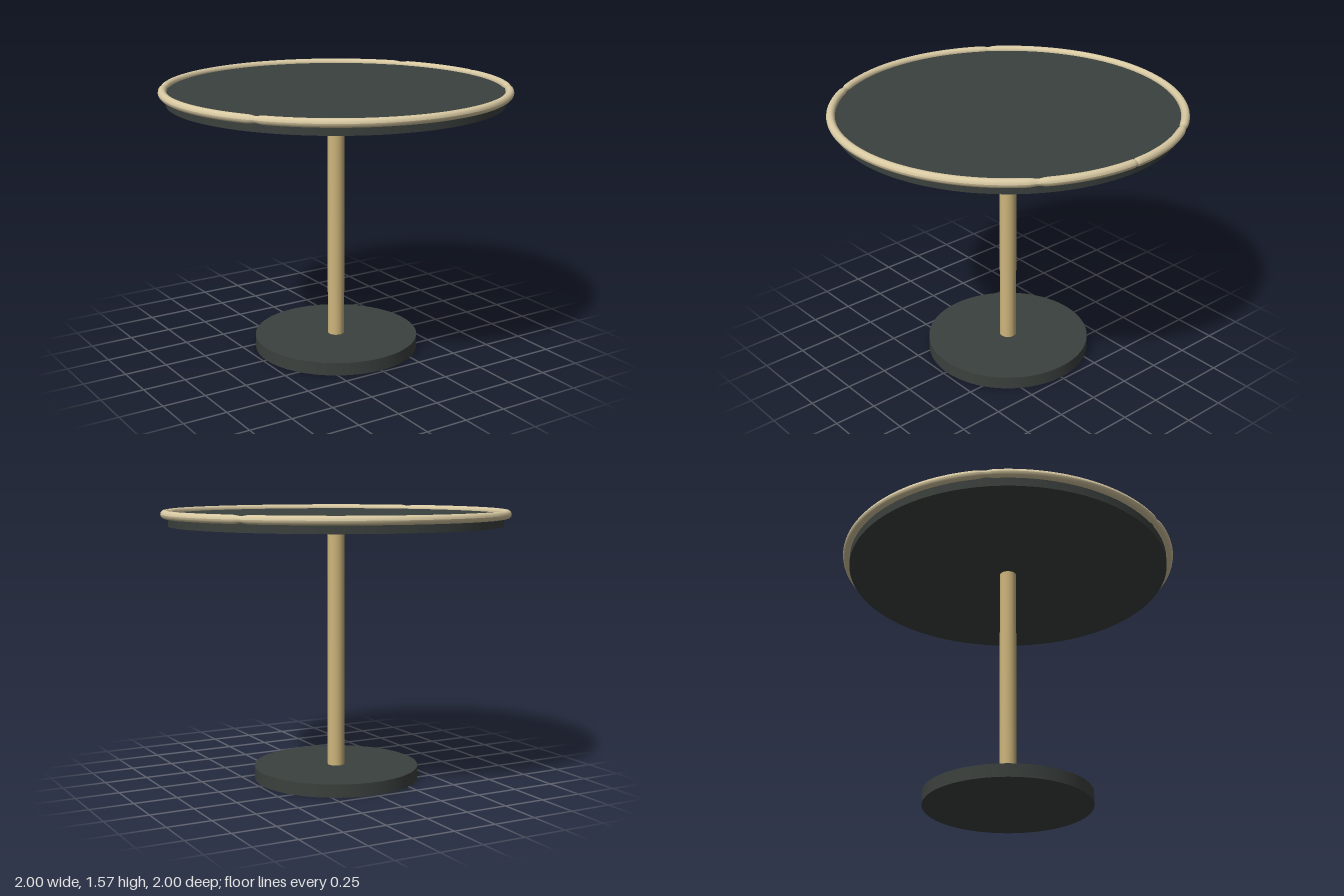
import * as THREE from 'three';

const dark = new THREE.MeshStandardMaterial({ color: 0x3b413e });
const brass = new THREE.MeshStandardMaterial({ color: 0xcdb57c });
const paleBrass = new THREE.MeshStandardMaterial({ color: 0xd8c9a2 });

// Upright cylinder between two heights
function disc(name, radius, y0, y1, material) {
  const mesh = new THREE.Mesh(new THREE.CylinderGeometry(radius, radius, y1 - y0, 96), material);
  mesh.name = name;
  mesh.position.y = (y0 + y1) / 2;
  return mesh;
}

// Round edge tube, pinched slightly where its bent lengths meet
function edgeRim() {
  const R = 0.975, r = 0.024;
  const joints = [[0, 0.008], [0.56, 0.03], [-0.56, 0.03], [2.56, 0.025], [-2.56, 0.025]];
  const geo = new THREE.TorusGeometry(R, r, 16, 480).rotateX(Math.PI / 2);
  const p = geo.attributes.position;
  for (let i = 0; i < p.count; i++) {
    const x = p.getX(i), z = p.getZ(i), a = Math.atan2(z, x);
    let scale = 1;
    for (const [angle, width] of joints) scale -= 0.25 * Math.exp(-(((a - angle) / width) ** 2));
    const d = R + (Math.hypot(x, z) - R) * scale;
    p.setXYZ(i, Math.cos(a) * d, p.getY(i) * scale, Math.sin(a) * d);
  }
  geo.computeVertexNormals();
  const mesh = new THREE.Mesh(geo, paleBrass);
  mesh.name = 'edgeRim';
  mesh.position.y = 1.548;
  return mesh;
}

export function createModel() {
  const table = new THREE.Group();
  table.name = 'pedestalTable';
  table.add(
    disc('base', 0.48, 0, 0.075, dark),
    disc('column', 0.049, 0.07, 1.49, brass),
    disc('tabletop', 0.958, 1.48, 1.547, dark),
    edgeRim()
  );
  return table;
}
